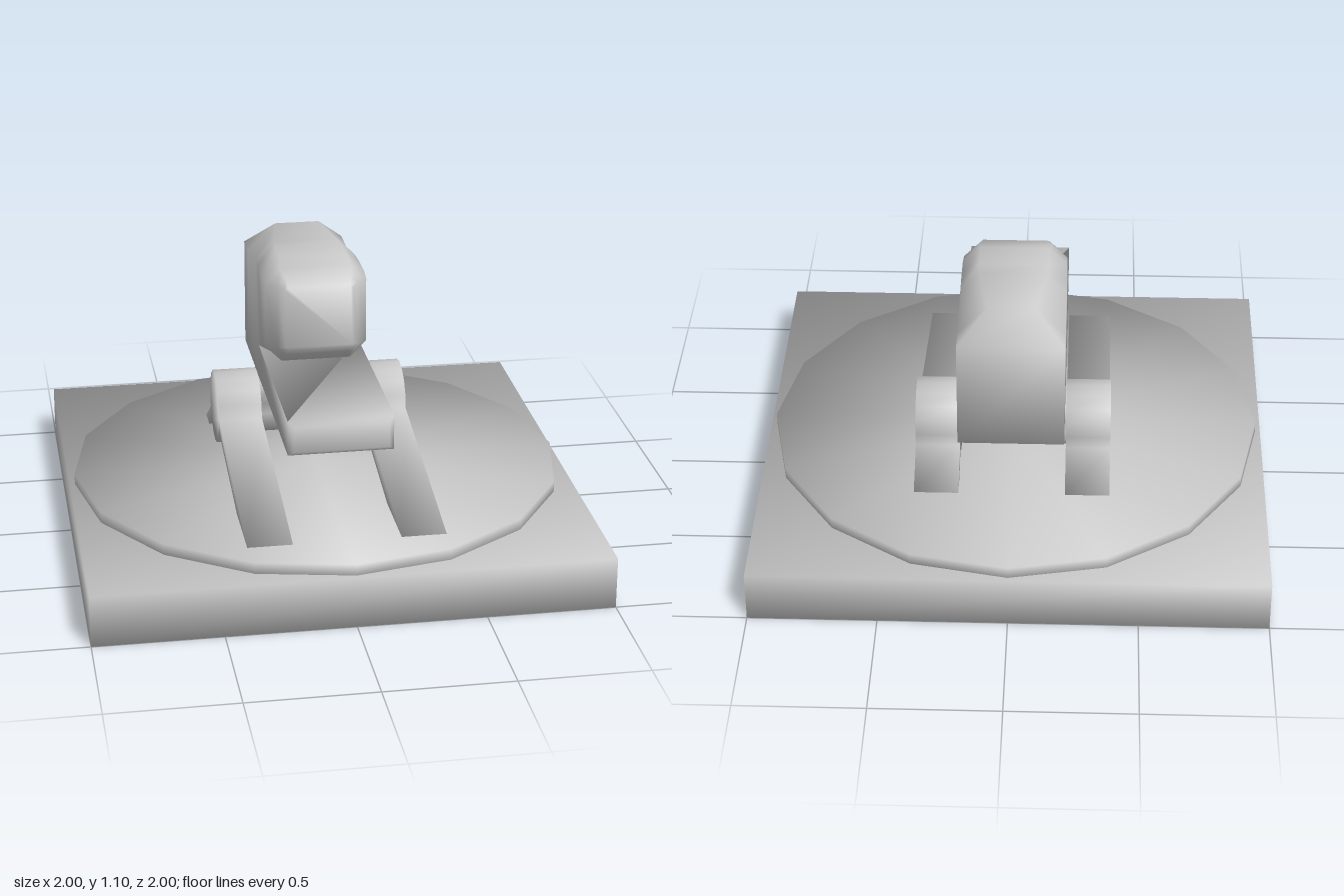
import * as THREE from 'three';
import { mergeGeometries, mergeVertices } from 'three/addons/utils/BufferGeometryUtils.js';

const material = new THREE.MeshStandardMaterial({ color: 0xcccccc });

// Soft shading: each corner averages its distinct face directions, whatever their area
function smooth(geometry) {
  geometry.deleteAttribute('normal');
  geometry.deleteAttribute('uv');
  const g = mergeVertices(geometry, 1e-4);
  const pos = g.attributes.position, index = g.index;
  const faces = Array.from({ length: pos.count }, () => []);
  const corner = (i) => new THREE.Vector3().fromBufferAttribute(pos, index.getX(i));
  for (let i = 0; i < index.count; i += 3) {
    const a = corner(i);
    const n = corner(i + 1).sub(a).cross(corner(i + 2).sub(a));
    if (n.length() < 1e-8) continue;
    n.normalize();
    for (let j = i; j < i + 3; j++) {
      const list = faces[index.getX(j)];
      if (!list.some((m) => m.dot(n) > 0.999)) list.push(n);
    }
  }
  const normals = faces.flatMap((list) =>
    list.reduce((sum, n) => sum.add(n), new THREE.Vector3()).normalize().toArray());
  g.setAttribute('normal', new THREE.Float32BufferAttribute(normals, 3));
  return g;
}

function part(name, geometry, x = 0, y = 0) {
  const mesh = new THREE.Mesh(smooth(geometry), material);
  mesh.name = name;
  mesh.position.set(x, y, 0);
  return mesh;
}

// 16-sided disc in the z-y plane with arms, extruded over a width in x.
// arms[k] lists the [z, y] tips inserted after corner k.
function armedDisc(radius, arms, width) {
  const points = [];
  for (let k = 0; k < 16; k++) {
    const a = k * Math.PI / 8;
    points.push([-0.21 + radius * Math.cos(a), 0.417 + radius * Math.sin(a)], ...(arms[k] || []));
  }
  const shape = new THREE.Shape(points.map(([z, y]) => new THREE.Vector2(z, y)));
  const g = new THREE.ExtrudeGeometry(shape, { depth: width, bevelEnabled: false });
  return g.rotateY(-Math.PI / 2).translate(width / 2, 0, 0);
}

// Octagonal cross-sections along z: [z, halfWidth, bottom, top, topCut, bottomCut]
function loft(sections) {
  const pos = [], index = [], n = 8;
  for (const [z, w, b, t, ct, cb] of sections) {
    const ring = [[w, b + cb], [w, t - ct], [w - ct, t], [ct - w, t],
      [-w, t - ct], [-w, b + cb], [cb - w, b], [w - cb, b]];
    for (const [x, y] of ring) pos.push(x, y, z);
  }
  const last = (sections.length - 1) * n;
  for (let i = 0; i < last; i += n) {
    for (let j = 0; j < n; j++) {
      const k = (j + 1) % n;
      index.push(i + j, i + k, i + n + k, i + j, i + n + k, i + n + j);
    }
  }
  for (let j = 1; j < n - 1; j++) {
    index.push(0, j + 1, j, last, last + j, last + j + 1);
  }
  const g = new THREE.BufferGeometry();
  g.setAttribute('position', new THREE.Float32BufferAttribute(pos, 3));
  g.setIndex(index);
  return g;
}

export function createModel() {
  const model = new THREE.Group();
  model.name = 'mountedTurret';

  // Square base and round plate
  model.add(part('base', new THREE.BoxGeometry(2, 0.205, 2), 0, 0.1025));
  model.add(part('roundPlate', new THREE.CylinderGeometry(0.98, 0.98, 0.05, 16), 0, 0.225));

  // Hub with a long front leg and a short rear leg on each side
  const legs = {
    9: [[-0.515, 0.249], [-0.415, 0.249]],
    15: [[0.48, 0.249], [0.78, 0.249]],
  };
  for (const [name, x] of [['leftHubAndLegs', 0.297], ['rightHubAndLegs', -0.297]]) {
    model.add(part(name, armedDisc(0.149, legs, 0.175), x));
  }

  // Axle with two slanted braces that narrow upwards to the gun
  const braces = {
    1: [[0.02, 0.555], [-0.06, 0.555]],
    6: [[-0.38, 0.555], [-0.46, 0.555]],
  };
  const axle = armedDisc(0.113, braces, 0.424);
  const p = axle.attributes.position;
  for (let i = 0; i < p.count; i++) {
    if (p.getY(i) > 0.54) p.setX(i, p.getX(i) * 0.81);
  }
  model.add(part('axleAndBraces', axle));

  // Turret body with cut corners, stepping up over the barrel
  const body = loft([
    [-0.59, 0.205, 0.55, 0.99, 0, 0],
    [-0.48, 0.205, 0.55, 1.1, 0.115, 0],
    [-0.25, 0.205, 0.55, 1.1, 0.075, 0],
    [-0.17, 0.205, 0.55, 1.1, 0.07, 0],
    [-0.17, 0.205, 0.69, 1.1, 0.07, 0],
    [-0.05, 0.205, 0.69, 1.1, 0.07, 0.065],
    [0.01, 0.203, 0.69, 1.08, 0.06, 0.065],
    [0.07, 0.16, 0.74, 1.06, 0.03, 0.03],
    [0.1, 0.135, 0.77, 1.03, 0.01, 0.01],
  ]);

  // Flat barrel with a bevelled muzzle, blending into the body
  const barrel = loft([
    [-0.17, 0.205, 0.55, 0.69, 0, 0],
    [0.62, 0.205, 0.55, 0.69, 0, 0],
    [0.642, 0.185, 0.57, 0.67, 0, 0],
  ]);
  model.add(part('turretBodyAndBarrel', mergeGeometries([body, barrel])));

  return model;
}
